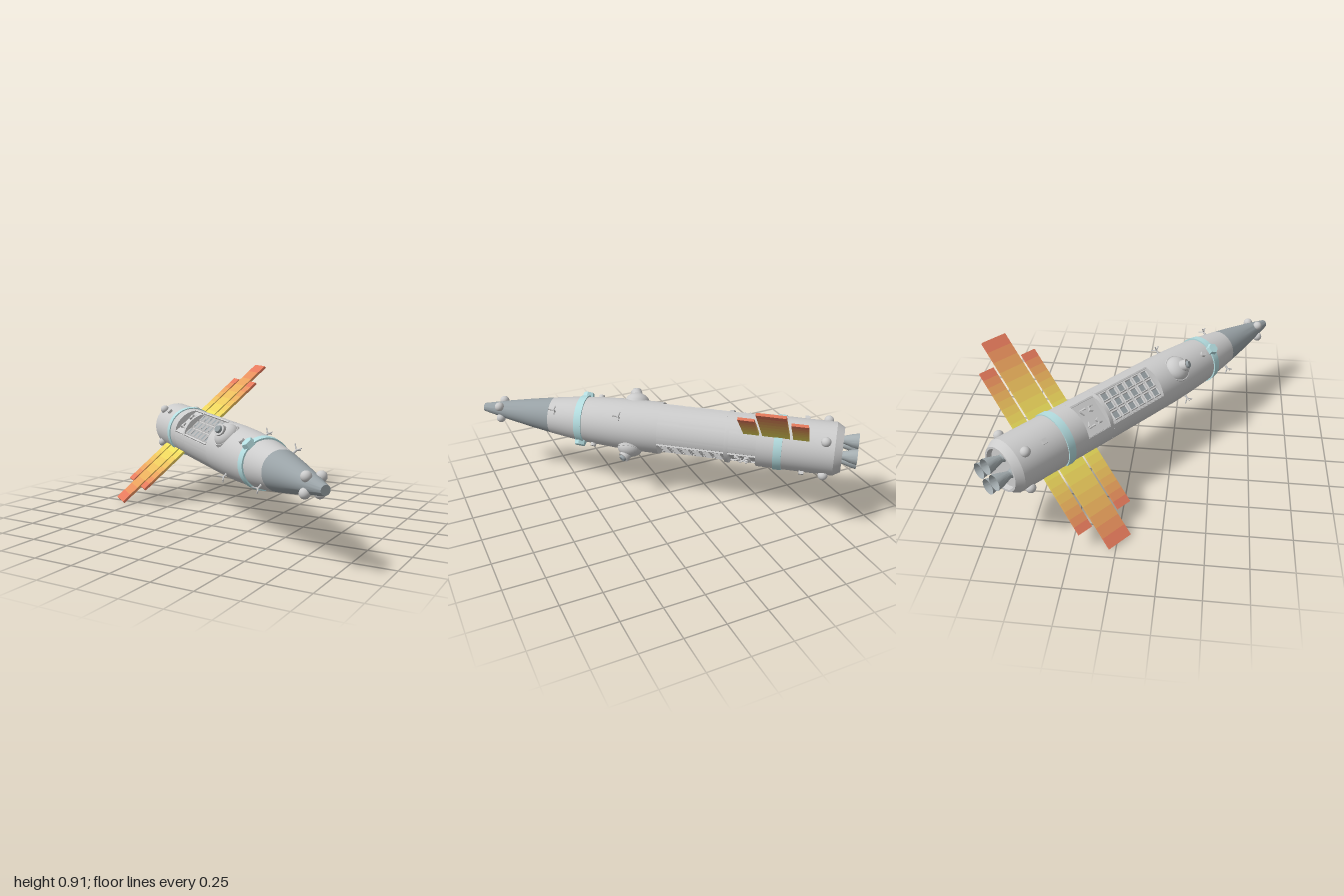
import * as THREE from 'three';
import { toCreasedNormals } from 'three/addons/utils/BufferGeometryUtils.js';

const R = 0.165;      // hull radius
const FLAT = 0.125;   // height of the recessed bay floors
const mat = (color, side = THREE.FrontSide) =>
  new THREE.MeshStandardMaterial({ color, side });
const grey = mat(0xcccccc);
const dark = mat(0x99a2a6);
const pale = mat(0xb4dde0);
const bell = mat(0xa4adb0, THREE.DoubleSide);

function add(parent, name, geo, material, x = 0, y = 0, z = 0) {
  const m = new THREE.Mesh(geo, material);
  m.name = name;
  m.position.set(x, y, z);
  parent.add(m);
  return m;
}

// Lathe about the ship's long x axis; points are [x, radius] from tail to nose
function turned(points, segs = 48) {
  const g = new THREE.LatheGeometry(points.map(([x, r]) => new THREE.Vector2(r, x)), segs);
  g.rotateZ(-Math.PI / 2);
  return toCreasedNormals(g, 0.45);
}

// Hull section with flat floors cut into its top and bottom
function cutSection(x0, x1) {
  const a = Math.asin(FLAT / R);
  const s = new THREE.Shape();
  s.absarc(0, 0, R, -a, a);
  s.absarc(0, 0, R, Math.PI - a, Math.PI + a);
  const g = new THREE.ExtrudeGeometry(s, { depth: x1 - x0, bevelEnabled: false, curveSegments: 16 });
  g.rotateY(Math.PI / 2).translate(x0, 0, 0);
  return toCreasedNormals(g, 0.45);
}

function antenna(parent, x, z) {
  const a = new THREE.Group();
  a.name = 'antenna';
  a.position.set(x, 0, z);
  a.rotation.x = Math.PI / 2;
  add(a, 'mast', new THREE.CylinderGeometry(0.005, 0.008, 0.04, 8), grey, 0, 0.02, 0);
  for (let i = 0; i < 3; i++) {
    const arm = new THREE.Group();
    arm.rotation.y = i * Math.PI * 2 / 3;
    arm.position.y = 0.03;
    add(arm, 'prong', new THREE.CylinderGeometry(0.004, 0.004, 0.04, 6), grey, 0.014, 0.01, 0)
      .rotation.z = -0.95;
    a.add(arm);
  }
  parent.add(a);
}

// Panel blades shade from yellow at the root to red-orange at the tip
function blade(parent, x, width, tip) {
  const root = 0.14, n = 8, step = (tip - root) / n;
  const c0 = new THREE.Color(0xecdf5c), c1 = new THREE.Color(0xe57a5c);
  for (let i = 0; i < n; i++) {
    add(parent, 'solarPanel', new THREE.BoxGeometry(width, 0.016, step),
      mat(c0.clone().lerp(c1, i / (n - 1))), x, 0, root + (i + 0.5) * step);
  }
}

function turret(parent, x) {
  const t = new THREE.Group();
  t.name = 'turret';
  t.position.set(x, 0.14, 0);
  add(t, 'turretBase', new THREE.CylinderGeometry(0.085, 0.09, 0.03, 32), grey, 0, 0, 0);
  add(t, 'turretDome', new THREE.SphereGeometry(0.08, 32, 16), grey, 0, 0.01, 0).scale.y = 0.75;
  const drum = add(t, 'turretDrum', new THREE.CylinderGeometry(0.036, 0.036, 0.08, 20), grey, 0.01, 0.05, 0.005);
  drum.rotation.set(0.35, 0, -0.45);
  add(drum, 'drumCap', new THREE.CylinderGeometry(0.02, 0.026, 0.02, 16), dark, 0, 0.045, 0);
  parent.add(t);
}

// Everything that repeats on the two opposite sides of the hull
function sideFittings() {
  const g = new THREE.Group();
  g.name = 'sideFittings';

  // Three-blade solar wing
  blade(g, -0.675, 0.165, 0.695);
  blade(g, -0.525, 0.095, 0.535);
  blade(g, -0.825, 0.095, 0.535);

  // Bay of square windows
  for (let i = 0; i < 6; i++) {
    for (let j = -1; j <= 1; j++) {
      const x = -0.1525 + (i - 2.5) * 0.067, z = j * 0.063;
      const frame = new THREE.TorusGeometry(0.034, 0.007, 4, 4);
      frame.rotateZ(Math.PI / 4).rotateX(Math.PI / 2);
      add(g, 'windowFrame', toCreasedNormals(frame, 0.3), grey, x, FLAT + 0.008, z);
      add(g, 'windowPane', new THREE.BoxGeometry(0.042, 0.008, 0.042), dark, x, FLAT + 0.003, z);
    }
  }
  // Rims along both bays
  for (const z of [-0.1, 0.1]) {
    add(g, 'bayRim', new THREE.BoxGeometry(0.425, 0.012, 0.008), grey, -0.1525, FLAT + 0.004, z);
    add(g, 'bayRim', new THREE.BoxGeometry(0.17, 0.012, 0.008), grey, -0.475, FLAT + 0.004, z);
  }

  // Equipment bay with small machinery
  for (const sx of [-1, 1]) {
    for (const sz of [-1, 1]) {
      const x = -0.475 + sx * 0.03, z = sz * 0.04;
      add(g, 'equipmentBox', new THREE.BoxGeometry(0.026, 0.018, 0.03), grey, x, FLAT + 0.008, z)
        .rotation.y = sx * sz * 0.5;
      add(g, 'equipmentPipe', new THREE.CylinderGeometry(0.006, 0.006, 0.04, 8), grey, x, FLAT + 0.014, z + sz * 0.015)
        .rotation.z = sx * 1.1;
    }
  }

  turret(g, 0.25);

  // Hexagonal clasp on the front band, and a small port beside it
  add(g, 'clasp', toCreasedNormals(new THREE.CylinderGeometry(0.034, 0.042, 0.04, 6), 0.3), pale, 0.585, 0.155, 0);
  add(g, 'port', new THREE.CylinderGeometry(0.017, 0.02, 0.03, 16), grey, 0.495, 0.155, 0);
  add(g, 'sensorBox', new THREE.BoxGeometry(0.03, 0.03, 0.03), grey, -0.84, 0.168, 0);

  antenna(g, 0.31, 0.155);
  antenna(g, 0.75, 0.118);

  // Thruster pods at tail and nose
  const pod = new THREE.SphereGeometry(0.03, 20, 14);
  for (const [x, r] of [[-0.97, 0.172], [1.163, 0.06]]) {
    add(g, 'thrusterPod', pod, grey, x, r, 0);
    add(g, 'thrusterPod', pod, grey, x, 0, r);
  }
  return g;
}

export function createModel() {
  const model = new THREE.Group();
  model.name = 'spaceship';
  const ship = new THREE.Group();
  ship.name = 'ship';
  ship.rotation.set(0.705, -0.677, 0, 'YXZ');
  ship.position.set(-0.022, 0.463, 0.027);
  model.add(ship);

  // Hull
  add(ship, 'tailHull', turned([[-1.04, 0], [-1.04, 0.118], [-1.07, 0.124], [-1.07, 0.138],
    [-1.025, R], [-0.56, R], [-0.56, 0]]), grey);
  add(ship, 'equipmentBayHull', cutSection(-0.56, -0.39), grey);
  add(ship, 'bulkhead', turned([[-0.39, 0], [-0.39, R], [-0.365, R], [-0.365, 0]]), grey);
  add(ship, 'windowBayHull', cutSection(-0.365, 0.06), grey);
  add(ship, 'frontHull', turned([[0.06, 0], [0.06, R], [0.2, R], [0.35, 0.161], [0.5, 0.152],
    [0.65, 0.138], [0.8, 0.117]]), grey);
  add(ship, 'noseCone', turned([[0.8, 0.117], [0.95, 0.093], [1.1, 0.066], [1.2, 0.046],
    [1.29, 0.027], [1.29, 0]]), dark);

  // Bands
  add(ship, 'rearBand', turned([[-0.715, 0.16], [-0.715, 0.172], [-0.665, 0.172], [-0.665, 0.16]]), pale);
  add(ship, 'frontBand', turned([[0.562, 0.14], [0.562, 0.156], [0.61, 0.151], [0.61, 0.135]]), pale);

  // Four engine bells
  const nozzle = turned([[-1.16, 0.048], [-1.12, 0.04], [-1.08, 0.027], [-1.06, 0.022], [-1.03, 0.03]], 24);
  for (let i = 0; i < 4; i++) {
    const a = i * Math.PI / 2 - 0.705;
    add(ship, 'engineBell', nozzle, bell, 0, Math.cos(a) * 0.07, Math.sin(a) * 0.07);
  }

  // Fittings on both sides
  for (const turn of [0, Math.PI]) {
    const side = sideFittings();
    side.rotation.x = turn;
    ship.add(side);
  }
  return model;
}
